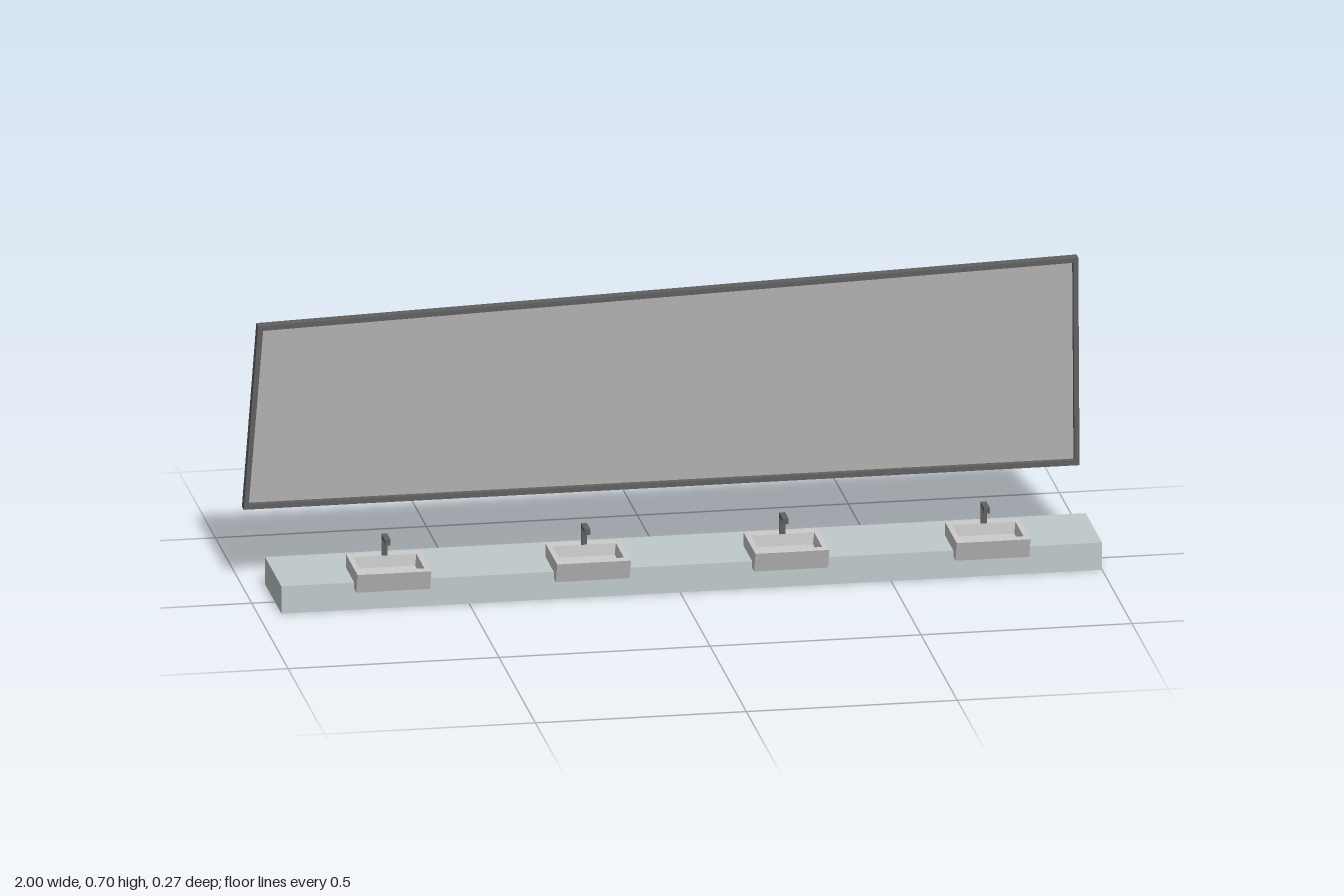
import * as THREE from 'three';

const paint = (color) => new THREE.MeshStandardMaterial({ color, flatShading: true });
const stone = paint(0xc0cacb), ceramic = paint(0xcccccc), dark = paint(0x606060), glass = paint(0xb0b0b0);

function add(parent, name, geometry, material) {
  const mesh = new THREE.Mesh(geometry, material);
  mesh.name = name;
  parent.add(mesh);
  return mesh;
}

// Box given by its limits on each axis
function box(parent, name, material, [x0, x1], [y0, y1], [z0, z1]) {
  const mesh = add(parent, name, new THREE.BoxGeometry(x1 - x0, y1 - y0, z1 - z0), material);
  mesh.position.set((x0 + x1) / 2, (y0 + y1) / 2, (z0 + z1) / 2);
  return mesh;
}

// Rectangular rings [halfWidth, zBack, zFront, y], joined in order and capped at both ends
function ringSolid(rings) {
  const positions = [], index = [];
  for (const [w, back, front, y] of rings) {
    positions.push(-w, y, front, w, y, front, w, y, back, -w, y, back);
  }
  for (let r = 0; r < rings.length - 1; r++) {
    for (let i = 0; i < 4; i++) {
      const a = r * 4 + i, b = r * 4 + (i + 1) % 4;
      index.push(a, b, b + 4, a, b + 4, a + 4);
    }
  }
  const e = (rings.length - 1) * 4;
  index.push(0, 2, 1, 0, 3, 2, e, e + 1, e + 2, e, e + 2, e + 3);
  const geometry = new THREE.BufferGeometry();
  geometry.setAttribute('position', new THREE.Float32BufferAttribute(positions, 3));
  geometry.setIndex(index);
  const flat = geometry.toNonIndexed();
  flat.computeVertexNormals();
  return flat;
}

function createSink(x) {
  const sink = new THREE.Group();
  sink.name = 'sink';
  sink.position.x = x;

  // Basin with sloping front and a recessed bowl
  add(sink, 'basin', ringSolid([
    [0.0875, -0.027, 0.118, 0.051],
    [0.0875, -0.027, 0.136, 0.1],
    [0.075, 0.0, 0.111, 0.1],
    [0.072, 0.002, 0.102, 0.072],
  ]), ceramic);
  add(sink, 'drain', new THREE.CylinderGeometry(0.009, 0.009, 0.002, 20), dark).position.set(0, 0.0725, 0.05);

  // Square-section tap
  const tap = new THREE.Group();
  tap.name = 'tap';
  sink.add(tap);
  const width = [-0.007, 0.007];
  box(tap, 'tapPost', dark, width, [0.099, 0.143], [-0.005, 0]);
  box(tap, 'tapSpout', dark, width, [0.143, 0.152], [-0.005, 0.043]);
  box(tap, 'tapNozzle', dark, width, [0.138, 0.143], [0.036, 0.043]);
  return sink;
}

function createMirror() {
  const mirror = new THREE.Group();
  mirror.name = 'mirror';
  const t = 0.012;
  const outline = (inset) => [
    [-1 + inset, 0.194 + inset], [0.981 - inset, 0.194 + inset],
    [0.978 - inset, 0.704 - inset], [-0.966 + inset, 0.643 - inset],
  ].map(([x, y]) => new THREE.Vector2(x, y));
  const extrude = (shape, depth) => new THREE.ExtrudeGeometry(shape, { depth, bevelEnabled: false });

  // Frame border, backing board and recessed glass
  const border = new THREE.Shape(outline(0));
  border.holes.push(new THREE.Path(outline(t)));
  add(mirror, 'mirrorFrame', extrude(border, 0.025), dark).position.z = -0.135;
  add(mirror, 'mirrorBacking', extrude(new THREE.Shape(outline(t)), 0.008), dark).position.z = -0.135;
  add(mirror, 'mirrorGlass', new THREE.ShapeGeometry(new THREE.Shape(outline(t))), glass).position.z = -0.125;
  return mirror;
}

export function createModel() {
  const model = new THREE.Group();
  model.name = 'washstand';
  box(model, 'counter', stone, [-0.945, 1], [0, 0.067], [-0.135, 0.089]);
  for (const x of [-0.685, -0.212, 0.258, 0.735]) model.add(createSink(x));
  model.add(createMirror());
  return model;
}
